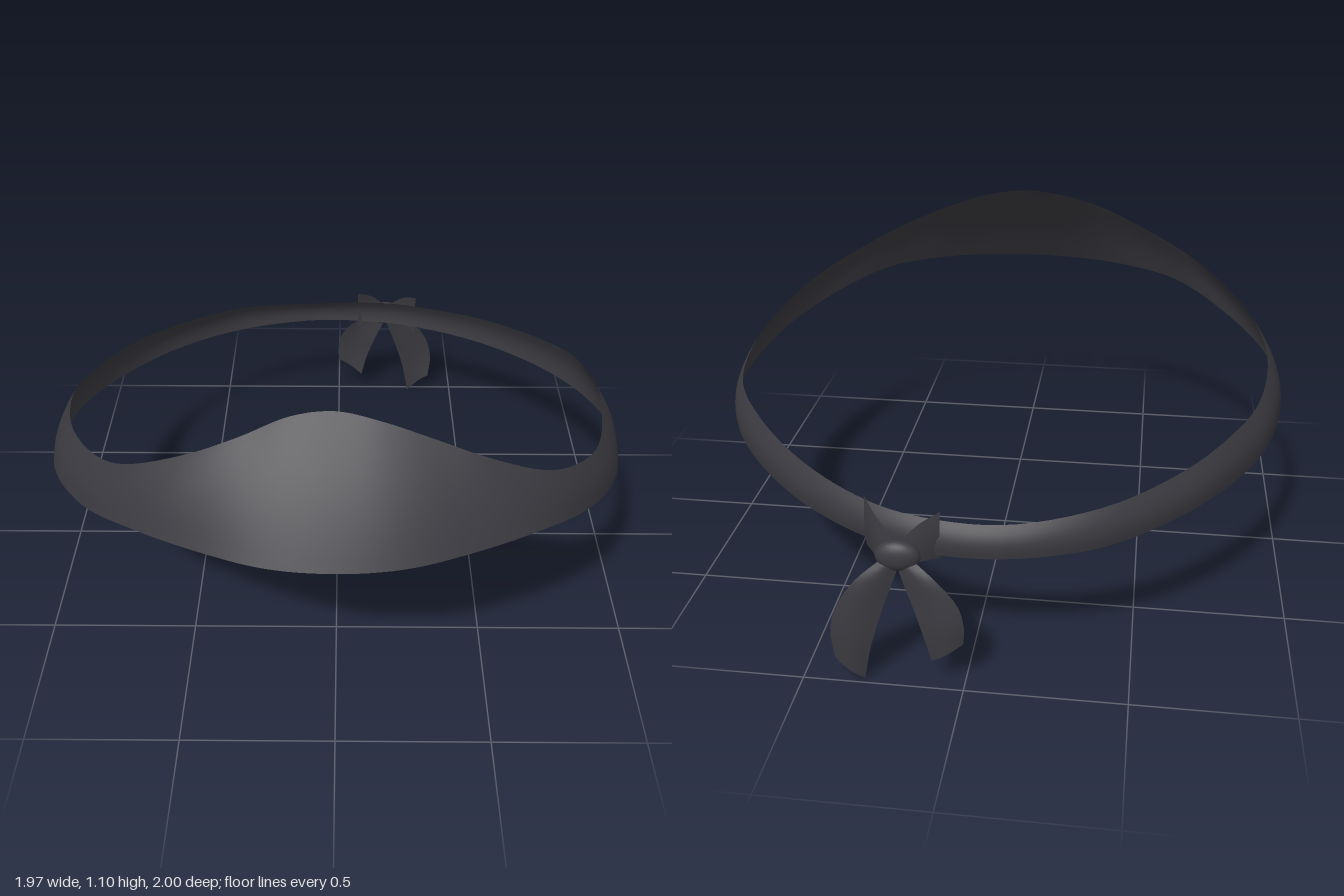
import * as THREE from 'three';

const vecs = (pts) => pts.map((p) => new THREE.Vector3(...p));

// Smooth ribbon lofted between two edge curves; bulge(point, v) shapes its cross-section.
function ribbon(edgeA, edgeB, { closed = false, along = 16, across = 6, bulge = null }) {
  const a = new THREE.CatmullRomCurve3(vecs(edgeA), closed);
  const b = new THREE.CatmullRomCurve3(vecs(edgeB), closed);
  const cols = closed ? along : along + 1;
  const pos = [], index = [];
  for (let i = 0; i < cols; i++) {
    const pa = a.getPoint(i / along), pb = b.getPoint(i / along);
    for (let j = 0; j <= across; j++) {
      const p = pa.clone().lerp(pb, j / across);
      if (bulge) bulge(p, j / across, i / along);
      pos.push(p.x, p.y, p.z);
    }
  }
  const row = across + 1;
  for (let i = 0; i < along; i++) {
    for (let j = 0; j < across; j++) {
      const p = i * row + j, q = ((i + 1) % cols) * row + j;
      index.push(p, q, q + 1, p, q + 1, p + 1);
    }
  }
  const g = new THREE.BufferGeometry();
  g.setAttribute('position', new THREE.Float32BufferAttribute(pos, 3));
  g.setIndex(index);
  g.computeVertexNormals();
  return g;
}

export function createModel() {
  const group = new THREE.Group();
  const cloth = new THREE.MeshStandardMaterial({ color: 0x3a3a40, side: THREE.DoubleSide });
  cloth.name = 'charcoal cloth';
  const add = (name, geometry) => {
    const m = new THREE.Mesh(geometry, cloth);
    m.name = name;
    group.add(m);
    return m;
  };

  // Band: lower and upper edges, from the front centre round by the left side
  const lower = [
    [0, 0.74, 1], [0.2, 0.74, 0.98], [0.4, 0.74, 0.91], [0.6, 0.725, 0.8],
    [0.8, 0.66, 0.61], [0.93, 0.6, 0.38], [0.985, 0.55, 0.1], [0.98, 0.525, -0.05],
    [0.91, 0.495, -0.28], [0.78, 0.475, -0.48], [0.58, 0.45, -0.68], [0.36, 0.43, -0.82],
    [0.18, 0.42, -0.885], [-0.1, 0.42, -0.9], [-0.4, 0.43, -0.81], [-0.64, 0.455, -0.63],
    [-0.8, 0.475, -0.44], [-0.92, 0.5, -0.22], [-0.985, 0.54, 0.08], [-0.95, 0.595, 0.34],
    [-0.8, 0.66, 0.61], [-0.6, 0.725, 0.8], [-0.4, 0.74, 0.91], [-0.2, 0.74, 0.98],
  ];
  const upper = [
    [0, 1.1, 0.71], [0.13, 1.08, 0.73], [0.27, 1.035, 0.745], [0.45, 0.96, 0.745],
    [0.65, 0.865, 0.68], [0.82, 0.785, 0.48], [0.905, 0.725, 0.15], [0.92, 0.69, -0.03],
    [0.88, 0.655, -0.27], [0.76, 0.62, -0.46], [0.57, 0.58, -0.655], [0.355, 0.545, -0.795],
    [0.18, 0.53, -0.86], [-0.1, 0.52, -0.87], [-0.39, 0.55, -0.785], [-0.62, 0.585, -0.605],
    [-0.77, 0.62, -0.42], [-0.88, 0.65, -0.2], [-0.92, 0.71, 0.05], [-0.86, 0.77, 0.36],
    [-0.67, 0.86, 0.65], [-0.45, 0.96, 0.74], [-0.28, 1.035, 0.75], [-0.13, 1.085, 0.715],
  ];
  add('headband', ribbon(lower, upper, {
    closed: true, along: 144, across: 8,
    bulge: (p, v) => {
      const r = Math.hypot(p.x, p.z), k = 1 + (0.015 * Math.sin(Math.PI * v)) / r;
      p.x *= k;
      p.z *= k;
    },
  }));

  // Gathered folds running from the band into the knot
  const pleat = (p, v, u) => { p.z -= 0.012 * u * Math.sin(Math.PI * v); };
  add('rightFold', ribbon(
    [[0.2, 0.4, -0.935], [0.14, 0.405, -0.92], [0.08, 0.4, -0.885]],
    [[0.2, 0.47, -0.935], [0.14, 0.53, -0.915], [0.08, 0.56, -0.885]], { along: 8, bulge: pleat }));
  add('leftFold', ribbon(
    [[0.2, 0.4, -0.935], [0.27, 0.405, -0.905], [0.32, 0.4, -0.835]],
    [[0.2, 0.47, -0.935], [0.27, 0.535, -0.895], [0.32, 0.57, -0.835]], { along: 8, bulge: pleat }));

  // Knot
  const knot = add('knot', new THREE.SphereGeometry(1, 20, 14));
  knot.scale.set(0.07, 0.05, 0.032);
  knot.position.set(0.2, 0.435, -0.94);

  // Hanging tails, bowed backwards
  const bow = (p, v) => { p.z -= 0.012 * Math.sin(Math.PI * v); };
  add('rightTail', ribbon(
    [[0.16, 0.43, -0.945], [0.08, 0.375, -0.975], [0.015, 0.3, -0.985], [-0.003, 0.23, -0.988], [0, 0.165, -0.983]],
    [[0.21, 0.42, -0.94], [0.19, 0.37, -0.955], [0.155, 0.28, -0.97], [0.125, 0.19, -0.98], [0.1, 0.09, -0.978]],
    { bulge: bow }));
  add('leftTail', ribbon(
    [[0.19, 0.42, -0.94], [0.21, 0.365, -0.955], [0.25, 0.25, -0.97], [0.285, 0.13, -0.98], [0.31, 0.005, -0.978]],
    [[0.24, 0.43, -0.945], [0.325, 0.36, -0.975], [0.385, 0.27, -0.985], [0.407, 0.18, -0.988], [0.4, 0.08, -0.983]],
    { bulge: bow }));

  return group;
}
